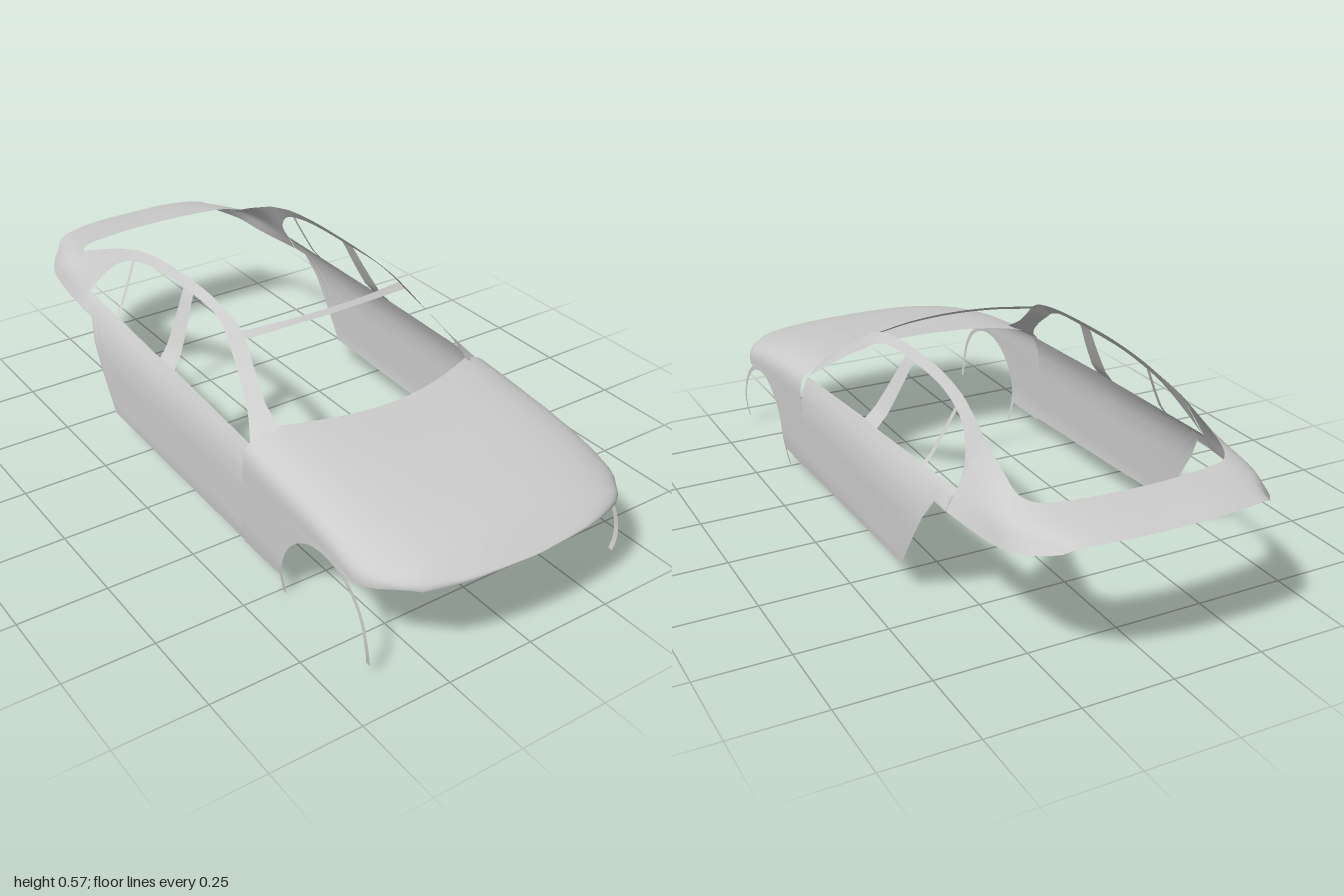
import * as THREE from 'three';

const material = new THREE.MeshStandardMaterial({ color: 0xcccccc, side: THREE.DoubleSide });

// Linear lookup in a table of [key, value] pairs with rising keys
function lookup(table, k) {
  if (k <= table[0][0]) return table[0][1];
  for (let i = 1; i < table.length; i++) {
    const [a, va] = table[i - 1], [b, vb] = table[i];
    if (k <= b) return va + (vb - va) * (k - a) / (b - a);
  }
  return table[table.length - 1][1];
}

// Smooth sheet from a rule fn(i, j) giving a point
function sheet(name, ni, nj, fn) {
  const pos = [], idx = [];
  for (let i = 0; i <= ni; i++) for (let j = 0; j <= nj; j++) pos.push(...fn(i, j));
  for (let i = 0; i < ni; i++) for (let j = 0; j < nj; j++) {
    const a = i * (nj + 1) + j, b = a + nj + 1;
    idx.push(a, b, a + 1, b, b + 1, a + 1);
  }
  const geo = new THREE.BufferGeometry();
  geo.setAttribute('position', new THREE.Float32BufferAttribute(pos, 3));
  geo.setIndex(idx);
  geo.computeVertexNormals();
  const mesh = new THREE.Mesh(geo, material);
  mesh.name = name;
  return mesh;
}

const curve = pts => new THREE.CatmullRomCurve3(pts.map(p => new THREE.Vector3(...p)), false, 'catmullrom', 0.5);

// Skin across two or more matching curves
function skin(name, rails, along, across) {
  const curves = rails.map(curve);
  return sheet(name, along, across, (i, j) => {
    const cross = curves.map(c => c.getPoint(i / along));
    const p = cross.length > 2
      ? new THREE.CatmullRomCurve3(cross).getPoint(j / across)
      : cross[0].clone().lerp(cross[1], j / across);
    return p.toArray();
  });
}

// Half width of the body side by height
const sideTable = [[0, 0.385], [0.06, 0.397], [0.1, 0.402], [0.25, 0.4], [0.3, 0.394], [0.34, 0.38],
  [0.37, 0.364], [0.4, 0.338], [0.45, 0.312], [0.5, 0.288], [0.545, 0.268], [0.57, 0.25]];
const sideX = y => lookup(sideTable, y);
const onSide = (z, y) => [sideX(y), y, z];

// Front wheel arch
const ARCH = { z: 0.695, y: 0.07, r: 0.185 };
const archY = z => ARCH.y + Math.sqrt(Math.max(0, ARCH.r ** 2 - (z - ARCH.z) ** 2));

// Hood and front fenders: rounded sections from one side to the other
function makeHood() {
  const top = [[0.34, 0.392], [0.43, 0.386], [0.6, 0.37], [0.8, 0.34], [0.9, 0.315], [0.95, 0.293], [0.98, 0.277], [0.998, 0.267]];
  const width = [[0.34, 0.4], [0.8, 0.399], [0.84, 0.39], [0.87, 0.375], [0.9, 0.35], [0.925, 0.33], [0.95, 0.295], [0.98, 0.2], [0.99, 0.14], [0.998, 0.01]];
  const edge = [[0.34, 0.25], [0.7, 0.257], [0.81, 0.236], [0.87, 0.247], [0.925, 0.259], [0.945, 0.254], [0.98, 0.262], [0.998, 0.267]];
  const round = [[0.34, 5], [0.6, 4], [0.9, 2.5]];
  const rows = [0.345, 0.37, 0.4, 0.44, 0.48, 0.51, 0.513, 0.52, 0.535, 0.555, 0.58, 0.61, 0.65, 0.7, 0.74, 0.78,
    0.81, 0.84, 0.87, 0.9, 0.925, 0.945, 0.96, 0.975, 0.985, 0.992, 0.998];
  const n = 60;
  return sheet('hoodAndFenders', rows.length - 1, n, (i, j) => {
    const v = j / n * 2 - 1, s = Math.abs(v) / 0.8 * 2, z0 = rows[i];
    const k = lookup(round, z0), q = 2 ** (-1 / k);
    const other = t => (1 - t ** k) ** (1 / k);
    const yb = lookup(edge, z0);
    let x, y, z = z0;
    if (s <= 2) {
      const X = s < 1 ? q * s : other(q * (2 - s)), Y = s < 1 ? other(q * s) : q * (2 - s);
      x = lookup(width, z0) * X;
      // curved rear edge below the windscreen
      z += 0.08 * Math.max(0, 1 - (x / 0.32) ** 2) * Math.max(0, (0.6 - z0) / 0.25);
      y = yb + (lookup(top, z) - yb) * Y;
    } else {
      const bottom = z0 <= 0.51 ? 0.06 : z0 < 0.81 ? Math.min(yb, archY(z0)) : yb;
      y = yb + (bottom - yb) * (Math.abs(v) - 0.8) / 0.2;
      x = z0 < 0.81 ? sideX(y) : lookup(width, z0);
    }
    return [Math.sign(v) * x, y, z];
  });
}

// Rear deck and quarters: one skin from side to side around the tail
function makeTail() {
  const whole = half => [...half, ...half.slice(0, -1).reverse().map(([x, y, z]) => [-x, y, z])];
  const inner = [[0.28, 0.505, -0.58], [0.285, 0.46, -0.69], [0.282, 0.432, -0.755], [0.25, 0.425, -0.8], [0.2, 0.425, -0.815], [0.1, 0.425, -0.828], [0, 0.425, -0.832]];
  const shoulder = [[0.352, 0.387, -0.58], [0.343, 0.392, -0.72], [0.328, 0.397, -0.8], [0.295, 0.402, -0.86], [0.24, 0.41, -0.89], [0.14, 0.414, -0.915], [0, 0.414, -0.92]];
  const outer = [[0.381, 0.335, -0.58], [0.363, 0.335, -0.75], [0.342, 0.348, -0.86], [0.285, 0.37, -0.94], [0.25, 0.392, -0.97], [0.14, 0.4, -0.995], [0, 0.4, -1]];
  return skin('rearDeck', [inner, shoulder, outer].map(whole), 72, 10);
}

// Everything that exists once on each side
function makeSide() {
  const side = new THREE.Group();

  // Door panel between sill and belt line
  const belt = [[-0.58, 0.386], [-0.135, 0.37], [-0.055, 0.37], [0.345, 0.35]];
  const sill = [[-0.52, 0.335], [-0.36, 0.09], [0.51, 0.06]];
  const cols = [-0.58, -0.55, -0.52, -0.48, -0.44, -0.4, -0.36, -0.25, -0.135, -0.055, 0.1, 0.25, 0.345];
  side.add(sheet('doorPanel', cols.length - 1, 16, (i, j) => {
    const z = cols[i], y0 = lookup(sill, z), y = y0 + (lookup(belt, z) - y0) * j / 16;
    return onSide(z, y);
  }));

  // Windscreen pillar, roof rail and rear pillar in one band
  const railInner = [[0.302, 0.389, 0.372], [0.303, 0.425, 0.305], [0.283, 0.475, 0.225], [0.262, 0.525, 0.148], [0.254, 0.548, 0.09],
    [0.249, 0.563, 0], [0.247, 0.57, -0.11], [0.25, 0.569, -0.28], [0.257, 0.555, -0.41], [0.266, 0.535, -0.49], [0.274, 0.518, -0.545], [0.28, 0.505, -0.58]];
  const windowEdge = [[0.345, 0.35], [0.27, 0.403], [0.19, 0.455], [0.11, 0.5], [0.065, 0.525],
    [0.0, 0.543], [-0.115, 0.548], [-0.3, 0.545], [-0.42, 0.525], [-0.495, 0.495], [-0.555, 0.44], [-0.58, 0.387]];
  side.add(skin('roofRail', [railInner, windowEdge.map(p => onSide(...p))], 66, 4));

  // Centre pillar and rear window divider
  const post = (name, a0, a1, b0, b1) => side.add(sheet(name, 1, 10, (i, j) => {
    const t = j / 10, lo = i ? a1 : a0, hi = i ? b1 : b0;
    return onSide(lo[0] + (hi[0] - lo[0]) * t, lo[1] + (hi[1] - lo[1]) * t);
  }));
  post('centrePillar', [-0.055, 0.368], [-0.135, 0.368], [-0.11, 0.55], [-0.162, 0.55]);
  post('windowDivider', [-0.398, 0.376], [-0.412, 0.376], [-0.424, 0.526], [-0.438, 0.523]);

  // Thin wheel arch lip with its two legs
  const lip = r => {
    const pts = [];
    for (let a = -12; a <= 180; a += 8) {
      const t = a * Math.PI / 180;
      pts.push(onSide(ARCH.z + r * Math.cos(t), ARCH.y + r * Math.sin(t)));
    }
    const z = ARCH.z - r;
    return [...pts, onSide(z, 0.04), onSide(z, 0.002)];
  };
  side.add(skin('wheelArchLip', [lip(0.188), lip(0.174)], 60, 1));
  return side;
}

export function createModel() {
  const model = new THREE.Group();
  model.name = 'carBodyShell';
  model.add(makeHood(), makeTail());

  // Bar across the top of the windscreen
  model.add(skin('windscreenHeader', [
    [[-0.257, 0.534, 0.118], [-0.13, 0.542, 0.146], [0, 0.545, 0.155], [0.13, 0.542, 0.146], [0.257, 0.534, 0.118]],
    [[-0.263, 0.52, 0.14], [-0.13, 0.531, 0.161], [0, 0.534, 0.169], [0.13, 0.531, 0.161], [0.263, 0.52, 0.14]],
  ], 24, 1));

  const left = makeSide();
  left.name = 'leftSide';
  const right = makeSide();
  right.name = 'rightSide';
  right.scale.x = -1;
  model.add(left, right);
  return model;
}
